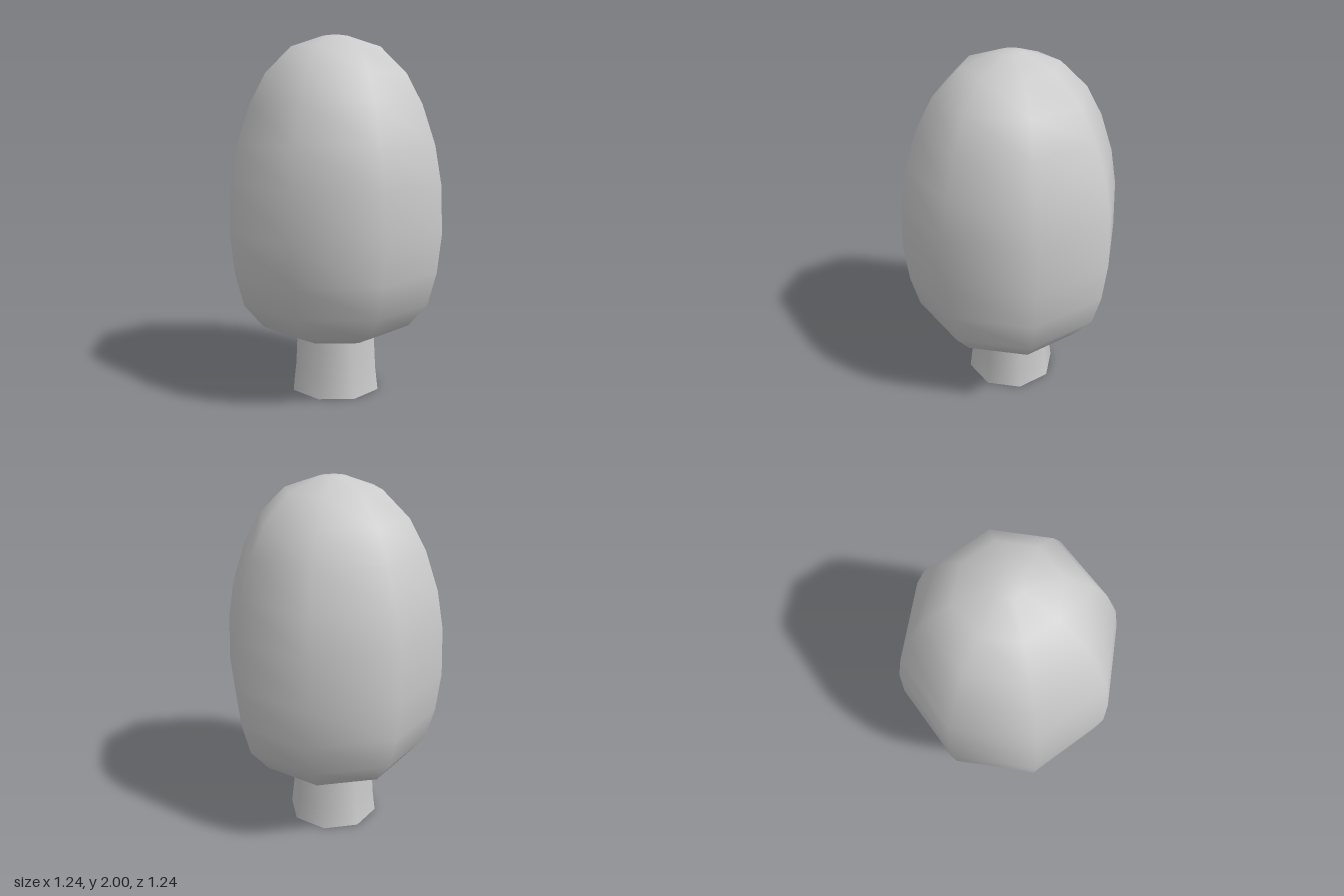
import * as THREE from 'three';

const SIDES = 8;

// Smooth eight-sided turned part from a bottom-to-top list of [radius, height]
function turned(name, profile, material) {
  const points = profile.map(([r, y]) => new THREE.Vector2(r, y));
  const mesh = new THREE.Mesh(new THREE.LatheGeometry(points, SIDES), material);
  mesh.name = name;
  return mesh;
}

export function createModel() {
  const model = new THREE.Group();
  model.name = 'tree';
  const material = new THREE.MeshStandardMaterial({ color: 0xcccccc, side: THREE.DoubleSide });

  // Slightly flared trunk, open at the foot
  model.add(turned('trunk', [[0.262, 0], [0.246, 0.13], [0.236, 0.325]], material));

  // Egg-shaped crown, its underside meeting the trunk
  model.add(turned('crown', [
    [0.236, 0.325], [0.305, 0.335], [0.44, 0.4], [0.547, 0.53], [0.595, 0.71],
    [0.62, 0.93], [0.61, 1.2], [0.573, 1.41], [0.5, 1.625], [0.41, 1.79],
    [0.262, 1.935], [0.07, 2], [0, 2],
  ], material));

  return model;
}
